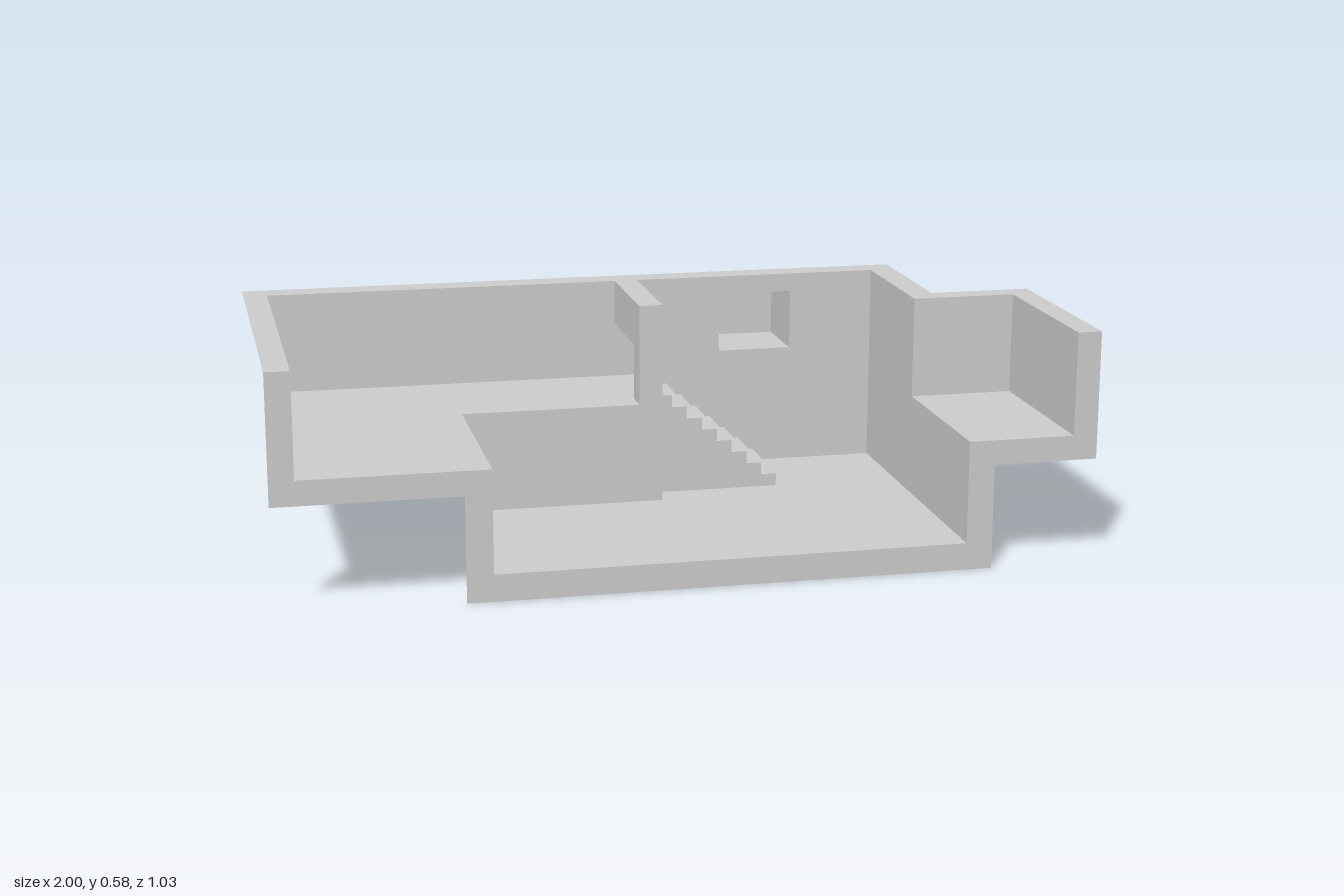
import * as THREE from 'three';

const material = new THREE.MeshStandardMaterial({ color: 0xcccccc, side: THREE.DoubleSide, flatShading: true });

// Main levels
const TOP = 0.58, UP = 0.323, LOW = 0.067, FRONT = 0.515, BACK = -0.322;

const rect = (a0, a1, b0, b1) => [[a0, b0], [a1, b0], [a1, b1], [a0, b1]];
const toPoints = list => list.map(([a, b]) => new THREE.Vector2(a, b));

// Flat sheet at a fixed place on one axis, facing along sign.
// Outline coordinates: axis x -> (z, y), axis y -> (x, z), axis z -> (x, y)
function panel(group, name, axis, sign, place, outline, holes = []) {
  const shape = new THREE.Shape(toPoints(outline));
  holes.forEach(h => shape.holes.push(new THREE.Path(toPoints(h))));
  const geometry = new THREE.ShapeGeometry(shape);
  const p = geometry.attributes.position;
  for (let i = 0; i < p.count; i++) {
    const a = p.getX(i), b = p.getY(i);
    if (axis === 'x') p.setXYZ(i, place, b, a);
    else if (axis === 'y') p.setXYZ(i, a, place, b);
    else p.setXYZ(i, a, b, place);
  }
  // The x and y mappings mirror the sheet, so their winding starts out negative
  const facing = axis === 'z' ? 1 : -1;
  if (facing !== sign) geometry.index.array.reverse();
  geometry.computeVertexNormals();
  const mesh = new THREE.Mesh(geometry, material);
  mesh.name = name;
  group.add(mesh);
}

function part(parent, name) {
  const g = new THREE.Group();
  g.name = name;
  parent.add(g);
  return g;
}

export function createModel() {
  const model = new THREE.Group();
  model.name = 'splitLevelRoom';

  // Cut edges: top rim (with divider) and front section frame
  const cuts = part(model, 'cutEdges');
  panel(cuts, 'topRim', 'y', 1, TOP, [
    [-1, FRONT], [-1, -0.39], [0.74, -0.39], [0.74, 0], [1, 0], [1, FRONT],
    [0.94, FRONT], [0.94, 0.06], [0.675, 0.06], [0.675, BACK], [0.03, BACK], [0.03, 0],
    [-0.03, 0], [-0.03, BACK], [-0.94, BACK], [-0.94, FRONT]]);
  panel(cuts, 'frontFrame', 'z', 1, FRONT, [
    [-1, TOP], [-1, 0.262], [-0.55, 0.262], [-0.55, 0], [0.74, 0], [0.74, 0.262], [1, 0.262], [1, TOP],
    [0.94, TOP], [0.94, UP], [0.675, UP], [0.675, LOW], [-0.485, LOW], [-0.485, UP], [-0.94, UP], [-0.94, TOP]]);

  // Raised floor area
  const upper = part(model, 'upperRoom');
  panel(upper, 'upperFloor', 'y', 1, UP, [
    [-0.94, BACK], [-0.03, BACK], [-0.03, 0], [-0.485, 0], [-0.485, FRONT], [-0.94, FRONT]]);
  panel(upper, 'upperBackWall', 'z', 1, BACK, rect(-0.94, -0.03, UP, TOP));
  panel(upper, 'upperSideWall', 'x', 1, -0.94, rect(BACK, FRONT, UP, TOP));

  // Sunken floor area
  const lower = part(model, 'lowerRoom');
  const niche = [0.255, 0.45, 0.377, 0.532];
  panel(lower, 'lowerFloor', 'y', 1, LOW, [
    [0.03, BACK], [0.675, BACK], [0.675, FRONT], [-0.485, FRONT], [-0.485, 0], [0.03, 0]]);
  panel(lower, 'lowerBackWall', 'z', 1, BACK, rect(0.03, 0.675, LOW, TOP), [rect(...niche)]);
  panel(lower, 'lowerStepWall', 'x', 1, -0.485, rect(0, FRONT, LOW, UP));
  panel(lower, 'dividerFront', 'z', 1, 0, [
    [-0.485, LOW], [0.03, LOW], [0.03, TOP], [-0.03, TOP], [-0.03, UP], [-0.485, UP]]);
  panel(lower, 'lowerSideWall', 'x', -1, 0.675, [
    [BACK, LOW], [FRONT, LOW], [FRONT, UP], [0.06, UP], [0.06, TOP], [BACK, TOP]]);

  // Divider faces with the doorway at the head of the stairs
  const divider = part(model, 'divider');
  const doorFront = -0.07, doorTop = 0.465;
  panel(divider, 'dividerUpperFace', 'x', -1, -0.03, [
    [doorFront, UP], [0, UP], [0, TOP], [BACK, TOP], [BACK, doorTop], [doorFront, doorTop]]);
  panel(divider, 'dividerLowerFace', 'x', 1, 0.03, [
    [BACK, LOW], [0, LOW], [0, TOP], [BACK, TOP], [BACK, doorTop], [doorFront, doorTop], [doorFront, UP], [BACK, UP]]);
  panel(divider, 'doorSill', 'y', 1, UP, rect(-0.03, 0.03, BACK, doorFront));
  panel(divider, 'doorLintel', 'y', -1, doorTop, rect(-0.03, 0.03, BACK, doorFront));
  panel(divider, 'doorJamb', 'z', -1, doorFront, rect(-0.03, 0.03, UP, doorTop));
  panel(divider, 'doorBackWall', 'z', 1, BACK, rect(-0.03, 0.03, UP, doorTop));

  // Side alcove
  const alcove = part(model, 'sideAlcove');
  panel(alcove, 'alcoveFloor', 'y', 1, UP, rect(0.675, 0.94, 0.06, FRONT));
  panel(alcove, 'alcoveBackWall', 'z', 1, 0.06, rect(0.675, 0.94, UP, TOP));
  panel(alcove, 'alcoveSideWall', 'x', -1, 0.94, rect(0.06, FRONT, UP, TOP));

  // Window niche pushed out through the back wall
  const box = part(model, 'windowNiche');
  const [x0, x1, y0, y1] = niche, nicheBack = -0.515;
  panel(box, 'nicheBack', 'z', 1, nicheBack, rect(...niche));
  panel(box, 'nicheSill', 'y', 1, y0, rect(x0, x1, nicheBack, BACK));
  panel(box, 'nicheHead', 'y', -1, y1, rect(x0, x1, nicheBack, BACK));
  panel(box, 'nicheRightSide', 'x', 1, x0, rect(nicheBack, BACK, y0, y1));
  panel(box, 'nicheLeftSide', 'x', -1, x1, rect(nicheBack, BACK, y0, y1));

  // Stairs: stepped side, treads and risers
  const stairs = part(model, 'stairs');
  const steps = 8, run = 0.04, rise = (UP + 0.003 - LOW) / steps;
  const side = [[0.03, LOW]];
  for (let i = 0; i < steps; i++) {
    const xa = 0.03 + i * run, xb = xa + run, y = LOW + (steps - i) * rise;
    side.push([xa, y], [xb, y]);
    panel(stairs, 'tread', 'y', 1, y, rect(xa, xb, BACK, doorFront));
    panel(stairs, 'riser', 'x', 1, xb, rect(BACK, doorFront, y - rise, y));
  }
  side.push([0.03 + steps * run, LOW]);
  panel(stairs, 'stairSide', 'z', 1, doorFront, side);

  return model;
}
